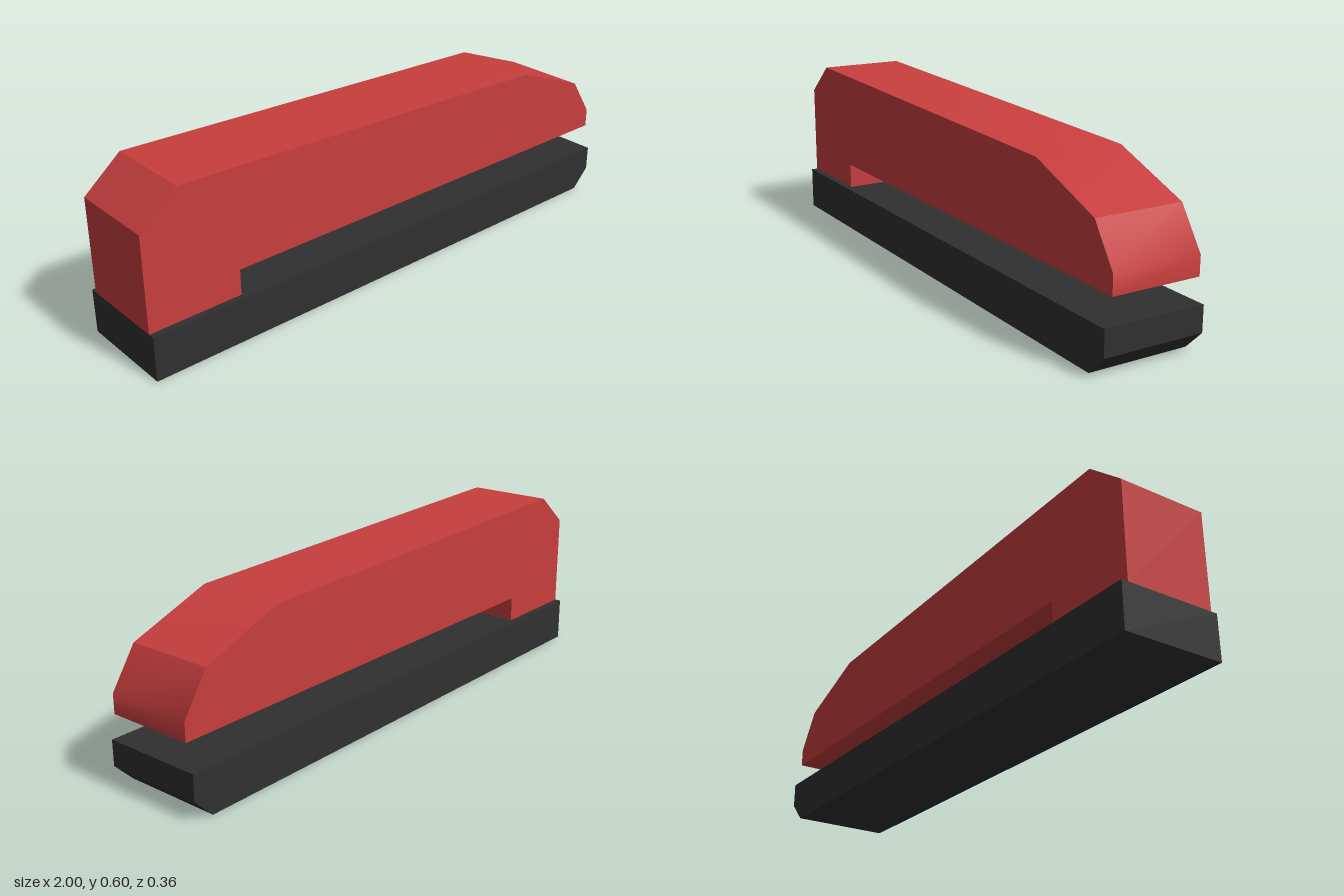
import * as THREE from 'three';
import { toCreasedNormals } from 'three/addons/utils/BufferGeometryUtils.js';

const red = new THREE.MeshStandardMaterial({ color: 0xc83e3e });
red.name = 'red';
const charcoal = new THREE.MeshStandardMaterial({ color: 0x303030 });
charcoal.name = 'charcoal';

// Side profile extruded across z, centred, with gentle bends kept smooth
function slab(name, points, width, material) {
  const shape = new THREE.Shape(points.map(([x, y]) => new THREE.Vector2(x, y)));
  const geometry = new THREE.ExtrudeGeometry(shape, { depth: width, bevelEnabled: false });
  geometry.translate(0, 0, -width / 2);
  const mesh = new THREE.Mesh(toCreasedNormals(geometry, 0.6), material);
  mesh.name = name;
  return mesh;
}

export function createModel() {
  const model = new THREE.Group();
  model.name = 'stapler';

  // Base plate with a chamfered toe
  model.add(slab('base', [
    [-1, 0], [0.933, 0], [1, 0.068], [1, 0.156], [-1, 0.156],
  ], 0.357, charcoal));

  // Upper arm: heel resting on the base, long arm over the gap, sloping nose
  model.add(slab('upperArm', [
    [-1, 0.156], [-0.667, 0.156], [-0.667, 0.246], [1, 0.246], [1, 0.312],
    [0.911, 0.446], [0.622, 0.557], [-0.867, 0.602], [-1, 0.49],
  ], 0.312, red));

  return model;
}
